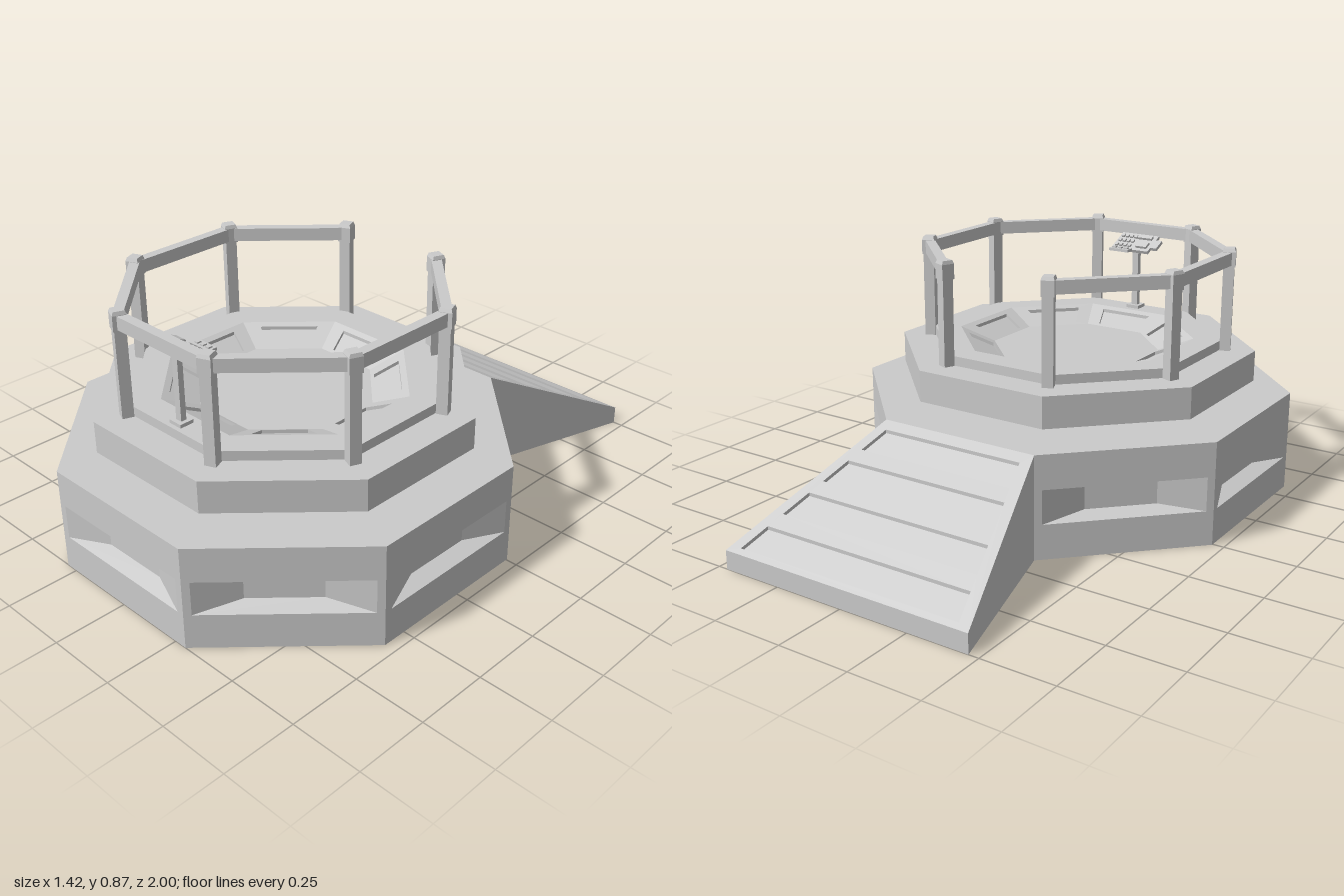
import * as THREE from 'three';

const gray = new THREE.MeshStandardMaterial({ color: 0xcccccc, flatShading: true });
const TAN = Math.tan(Math.PI / 8);

// Octagon outline from its apothem (centre to flat side)
const octagon = a => Array.from({ length: 8 }, (_, i) => {
  const t = Math.PI / 8 + i * Math.PI / 4, r = a / Math.cos(Math.PI / 8);
  return [r * Math.cos(t), r * Math.sin(t)];
});

// Symmetric trapezoid: half width w0 at v0, w1 at v1
const trapezoid = (v0, w0, v1, w1) => [[-w0, v0], [w0, v0], [w1, v1], [-w1, v1]];

const toPath = (pts, Type) => new Type(pts.map(p => new THREE.Vector2(p[0], p[1])));
function toShape(pts, holes = []) {
  const s = toPath(pts, THREE.Shape);
  s.holes = holes.map(h => toPath(h, THREE.Path));
  return s;
}

function add(parent, name, geometry, x = 0, y = 0, z = 0) {
  const m = new THREE.Mesh(geometry, gray);
  m.name = name;
  m.position.set(x, y, z);
  parent.add(m);
  return m;
}
const box = (parent, name, w, h, d, x, y, z) => add(parent, name, new THREE.BoxGeometry(w, h, d), x, y, z);

// Plan outline in x/z filled between a bottom and a top height (number or function of z)
function slab(pts, bottom, top, holes) {
  const g = new THREE.ExtrudeGeometry(toShape(pts, holes), { depth: 1, bevelEnabled: false });
  g.rotateX(Math.PI / 2);
  const p = g.attributes.position;
  const at = (f, z) => (typeof f === 'function' ? f(z) : f);
  for (let i = 0; i < p.count; i++) p.setY(i, at(p.getY(i) > -0.5 ? top : bottom, p.getZ(i)));
  g.computeVertexNormals();
  return g;
}

// Shallow pocket: rectangular mouth tapering to a smaller back wall
function pocket(w, y0, y1, wi, yi0, yi1, d) {
  const c = [[-w, y0, 0], [w, y0, 0], [w, y1, 0], [-w, y1, 0],
    [-wi, yi0, -d], [wi, yi0, -d], [wi, yi1, -d], [-wi, yi1, -d]];
  const quads = [[4, 5, 6, 7], [0, 1, 5, 4], [1, 2, 6, 5], [2, 3, 7, 6], [3, 0, 4, 7]];
  const pos = quads.flatMap(([a, b, e, f]) => [a, b, e, a, e, f].flatMap(i => c[i]));
  const g = new THREE.BufferGeometry();
  g.setAttribute('position', new THREE.Float32BufferAttribute(pos, 3));
  g.computeVertexNormals();
  return g;
}

// Calls fn with a group turned to each of the eight sides; side 0 faces front
function eachSide(parent, name, fn) {
  for (let k = 0; k < 8; k++) {
    const g = new THREE.Group();
    g.name = name;
    g.rotation.y = k * Math.PI / 4;
    parent.add(g);
    fn(g, k);
  }
}

function buildBase(parent) {
  const a = 0.71, h = 0.355, w = a * TAN;
  add(parent, 'baseTop', slab(octagon(a), h - 0.01, h));

  // Underside frame with a central and eight surrounding recesses
  const holes = [octagon(0.23)];
  for (let k = 0; k < 8; k++) {
    const t = k * Math.PI / 4, c = Math.cos(t), s = Math.sin(t);
    holes.push(trapezoid(0.32, 0.32 * TAN - 0.04, 0.655, 0.655 * TAN - 0.04)
      .map(([x, z]) => [x * c + z * s, z * c - x * s]));
  }
  add(parent, 'undersideFrame', slab(octagon(a - 0.001), 0, 0.06, holes));
  add(parent, 'undersideCeiling', slab(octagon(0.69), 0.06, 0.07));

  // Walls with a tapered pocket on each side
  const pw = w - 0.025, y0 = 0.12, y1 = 0.237;
  const wall = new THREE.ShapeGeometry(toShape([[-w, 0], [w, 0], [w, h], [-w, h]],
    [[[-pw, y0], [pw, y0], [pw, y1], [-pw, y1]]]));
  const recess = pocket(pw, y0, y1, 0.12, 0.137, 0.225, 0.055);
  eachSide(parent, 'baseSide', g => {
    add(g, 'baseWall', wall, 0, 0, a);
    add(g, 'wallPocket', recess, 0, 0, a);
  });
}

function buildDeck(parent) {
  const ri = 0.275, ro = 0.39, yTop = 0.535, yLow = 0.487, t = 0.012;
  add(parent, 'deckBody', slab(octagon(0.59), 0.393, 0.502, [octagon(ro)]));
  add(parent, 'raisedFloor', slab(octagon(0.48), 0.502, yTop, [octagon(ro)]));
  add(parent, 'bowlFloor', slab(octagon(ri), 0.46, yLow));
  add(parent, 'deckUnderside', slab(octagon(ro), 0.393, 0.46));

  // Sloping bowl around the floor, one inset panel per side
  const slope = z => yLow + (yTop - yLow) * (z - ri) / (ro - ri);
  const sector = trapezoid(ri, ri * TAN, ro, ro * TAN);
  const rim = slab(sector, z => slope(z) - t, slope, [trapezoid(0.287, 0.07, 0.37, 0.1)]);
  const back = slab(sector, z => slope(z) - t - 0.01, z => slope(z) - t);
  eachSide(parent, 'bowlSide', g => {
    add(g, 'bowlSlope', rim);
    add(g, 'bowlPanel', back);
  });
}

function buildRailing(parent) {
  const a = 0.493, w = a * TAN;
  eachSide(parent, 'railingSide', (g, k) => {
    // Post on the corner, turned to point outward
    const post = new THREE.Group();
    post.name = 'railPost';
    post.position.set(w, 0, a);
    post.rotation.y = Math.PI / 8;
    g.add(post);
    box(post, 'postShaft', 0.038, 0.35, 0.038, 0, 0.675, 0);
    const cap = new THREE.CylinderGeometry(0.026, 0.032, 0.012, 4).rotateY(Math.PI / 4);
    box(post, 'postHead', 0.045, 0.052, 0.045, 0, 0.828, 0);
    add(post, 'postCap', cap, 0, 0.86, 0);
    // The back side stays open as the entrance
    if (k !== 4) box(g, 'topRail', 2 * w, 0.045, 0.034, 0, 0.83, a);
  });
}

function buildConsole(parent) {
  box(parent, 'consoleFoot', 0.052, 0.012, 0.05, 0, 0.541, 0.73);
  box(parent, 'consoleStem', 0.024, 0.255, 0.02, 0, 0.67, 0.73);
  // Tilted panel that faces the middle of the deck
  const panel = new THREE.Group();
  panel.name = 'controlPanel';
  panel.position.set(0, 0.788, 0.712);
  panel.rotation.x = -0.44;
  parent.add(panel);
  box(panel, 'panelPlate', 0.155, 0.012, 0.1, -0.003, 0, 0);
  box(panel, 'sideTab', 0.026, 0.012, 0.05, -0.092, 0, 0);
  box(panel, 'displayBlock', 0.045, 0.01, 0.03, -0.045, 0.01, -0.02);
  box(panel, 'frontBlock', 0.06, 0.01, 0.018, -0.035, 0.01, 0.027);
  for (let i = 0; i < 4; i++)
    for (let j = 0; j < 3; j++)
      box(panel, 'button', 0.011, 0.008, 0.014, 0.005 + i * 0.018, 0.009, -0.03 + j * 0.028);
  box(parent, 'consoleLedge', 0.08, 0.01, 0.035, 0.025, 0.772, 0.648);
  for (const x of [0, 0.025, 0.05]) box(parent, 'ledgeKey', 0.014, 0.006, 0.016, x, 0.779, 0.648);
}

function buildRamp(parent) {
  const z0 = -0.42, z1 = -1, t = 0.012;
  const slope = z => 0.355 + (z - z0) * 0.5;
  const half = z => 0.294 + (z0 - z) * 0.295;
  const strip = (a, b, inset) => trapezoid(a, half(a) - inset, b, half(b) - inset);
  const outline = strip(z1, z0, 0);
  // Four inset treads
  const treads = [-0.98, -0.835, -0.692, -0.55].map(z => strip(z, z + 0.093, 0.04));
  add(parent, 'rampSurface', slab(outline, z => slope(z) - t, slope, treads));
  add(parent, 'rampBody', slab(outline, 0.045, z => slope(z) - t));
  add(parent, 'rampUndersideFrame', slab(outline, 0, 0.045, [strip(-0.95, -0.47, 0.055)]));
}

export function createModel() {
  const model = new THREE.Group();
  model.name = 'octagonalPlatform';
  const main = new THREE.Group();
  main.name = 'platform';
  main.position.z = 0.29;
  model.add(main);
  buildBase(main);
  buildDeck(main);
  buildRailing(main);
  buildConsole(model);
  buildRamp(model);
  return model;
}
